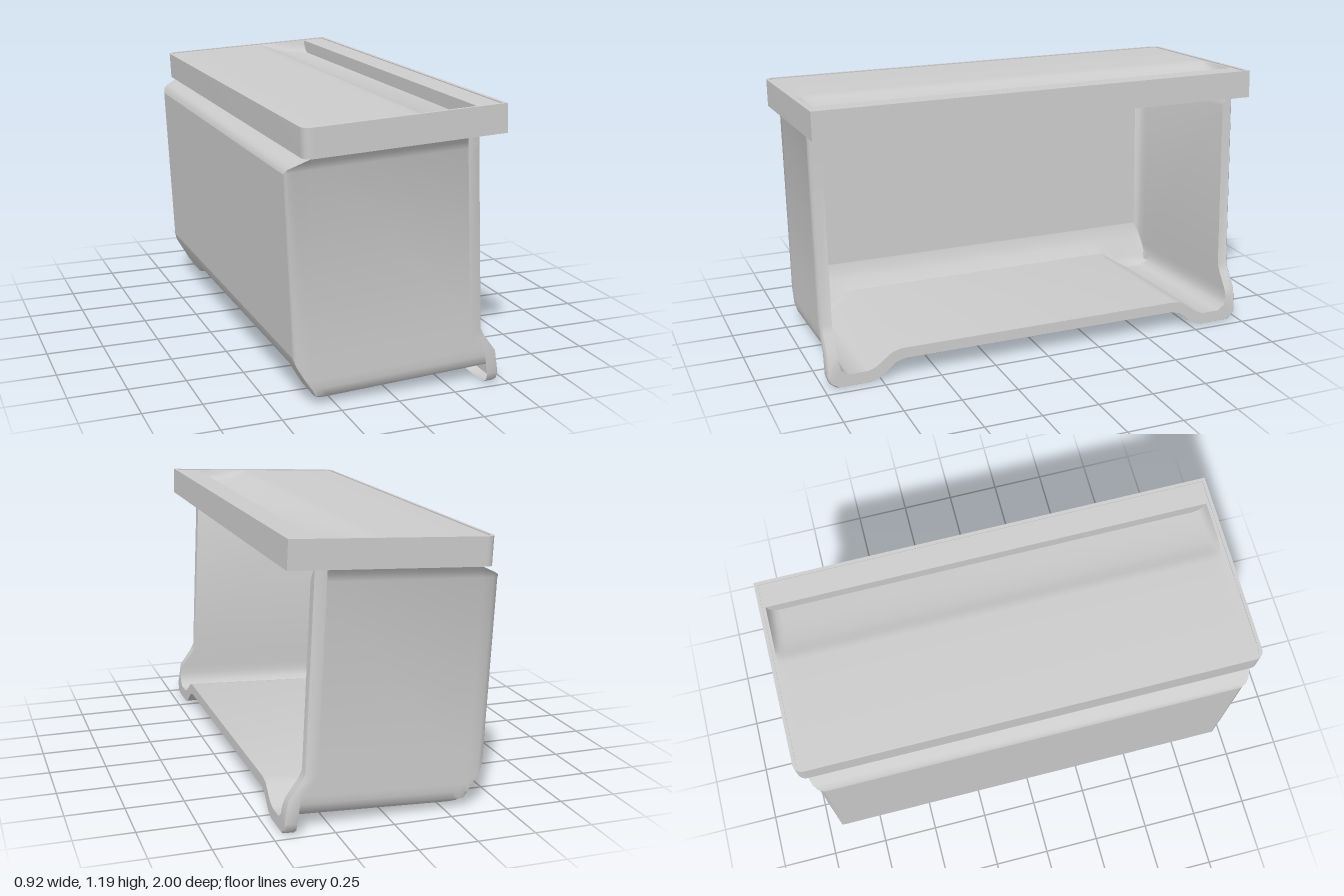
import * as THREE from 'three';
import { toCreasedNormals } from 'three/addons/utils/BufferGeometryUtils.js';

const material = new THREE.MeshStandardMaterial({ color: 0xcccccc, side: THREE.DoubleSide });

// Thin sheet through equal-length rows of [x, y, z] points
function sheet(name, rows) {
  const n = rows[0].length;
  const index = [];
  for (let r = 0; r < rows.length - 1; r++) {
    for (let i = 0; i < n - 1; i++) {
      const a = r * n + i, b = a + n;
      index.push(a, b, a + 1, a + 1, b, b + 1);
    }
  }
  const geometry = new THREE.BufferGeometry();
  geometry.setAttribute('position', new THREE.Float32BufferAttribute(rows.flat(2), 3));
  geometry.setIndex(index);
  geometry.computeVertexNormals();
  const mesh = new THREE.Mesh(toCreasedNormals(geometry, 0.7), material);
  mesh.name = name;
  return mesh;
}

// Half cross-sections as [z, y], from the top edge down to the middle of the floor
const WALL = [[0.972, 1.046], [0.95, 1.02], [0.937, 0.99], [0.935, 0.235], [0.935, 0.2], [0.935, 0.125],
  [0.935, 0.09], [0.925, 0.055], [0.895, 0.033], [0.81, 0.033], [0.775, 0.045], [0.7, 0.1], [0.66, 0.11]];
const LIP = [[0.985, 1.046], [0.985, 1.02], [0.985, 0.99], [0.985, 0.235], [0.985, 0.2], [0.985, 0.125],
  [0.985, 0.03], [0.975, 0.0], [0.945, -0.02], [0.8, -0.02], [0.76, -0.006], [0.69, 0.05], [0.65, 0.06]];
const mirrorZ = (half) => [...half, ...half.map(([x, y, z]) => [x, y, -z]).reverse()];

// The open edge steps forward near the floor
const frontX = (y) => 0.38 + 0.076 * THREE.MathUtils.clamp((0.225 - y) / 0.115, 0, 1);

function makeTub() {
  const tub = new THREE.Group();
  tub.name = 'tub';

  // Folded lip around the open side
  const lipRow = (path, dx) => mirrorZ(path.map(([z, y], i) => [frontX(WALL[i][1]) + dx, y, z]));
  const front = lipRow(WALL, 0);
  tub.add(sheet('frontLip', [lipRow(LIP, -0.05), lipRow(LIP, -0.006),
    lipRow(LIP.map(([z, y]) => [z - 0.005, y + 0.003]), 0), front]));

  // Stations towards the back: x, lowest y, highest y, side inset
  const stations = [[-0.28, 0.03, 1.046, 0], [-0.31, 0.036, 1.045, 0], [-0.33, 0.05, 1.037, 0],
    [-0.345, 0.077, 1.031, 0], [-0.385, 0.155, 1.014, 0.002], [-0.405, 0.195, 1.002, 0.01],
    [-0.414, 0.23, 0.98, 0.025]];
  const halves = stations.map(([x, low, high, inset]) => WALL.map(([z, y]) => {
    const clamped = THREE.MathUtils.clamp(y, low, high);
    const side = y > high ? Math.min(z, 0.937 + 0.035 * Math.max(0, (high - 0.99) / 0.056)) : z;
    return [x, clamped, side - inset];
  }));
  tub.add(sheet('sidesAndFloor', [front, ...halves.map(mirrorZ)]));

  // Sloping shoulder at the top of the back, and the back wall
  tub.add(sheet('shoulder', halves.slice(1).map((h) => mirrorZ([h[0]]))));
  tub.add(sheet('backWall', halves[halves.length - 1].map((p) => mirrorZ([p]))));
  return tub;
}

// Rounded back corners, square front corners, drawn in x and z
function lidOutline(Type, inset, r) {
  const x0 = -0.357 + inset, x1 = 0.495 - inset, z = 1 - inset;
  const s = new Type();
  s.moveTo(x1, -z);
  s.lineTo(x1, z);
  s.lineTo(x0 + r, z);
  s.absarc(x0 + r, z - r, r, Math.PI / 2, Math.PI, false);
  s.lineTo(x0, -z + r);
  s.absarc(x0 + r, -z + r, r, Math.PI, Math.PI * 1.5, false);
  s.closePath();
  return s;
}

function makeLid() {
  const lid = new THREE.Group();
  lid.name = 'lid';

  // Skirt
  const outline = lidOutline(THREE.Shape, 0, 0.04);
  outline.holes.push(lidOutline(THREE.Path, 0.015, 0.025));
  const geometry = new THREE.ExtrudeGeometry(outline, { depth: 0.12, bevelEnabled: false, curveSegments: 8 });
  geometry.rotateX(-Math.PI / 2);
  geometry.translate(0, 1.048, 0);
  const skirt = new THREE.Mesh(toCreasedNormals(geometry, 0.6), material);
  skirt.name = 'lidSkirt';
  lid.add(skirt);

  // Top panel with a long finger recess: [x, depth] across, [z, fraction] along
  const across = [[-0.344, 0], [0.115, 0], [0.135, 0.003], [0.155, 0.01], [0.18, 0.021], [0.21, 0.031],
    [0.26, 0.042], [0.32, 0.052], [0.375, 0.058], [0.376, 0], [0.482, 0]];
  const along = [[0.987, 0], [0.972, 0], [0.965, 0.35], [0.955, 0.68], [0.942, 0.88], [0.92, 1]];
  const ends = [...along, ...along.map(([z, f]) => [-z, f]).reverse()];
  lid.add(sheet('lidTop', ends.map(([z, f]) => across.map(([x, d]) => [x, 1.164 - d * f, z]))));
  return lid;
}

export function createModel() {
  const model = new THREE.Group();
  model.name = 'storageBin';
  // The whole bin leans back slightly
  const body = new THREE.Group();
  body.name = 'leaningBody';
  body.rotation.z = 0.047;
  body.add(makeTub(), makeLid());
  model.add(body);
  return model;
}
